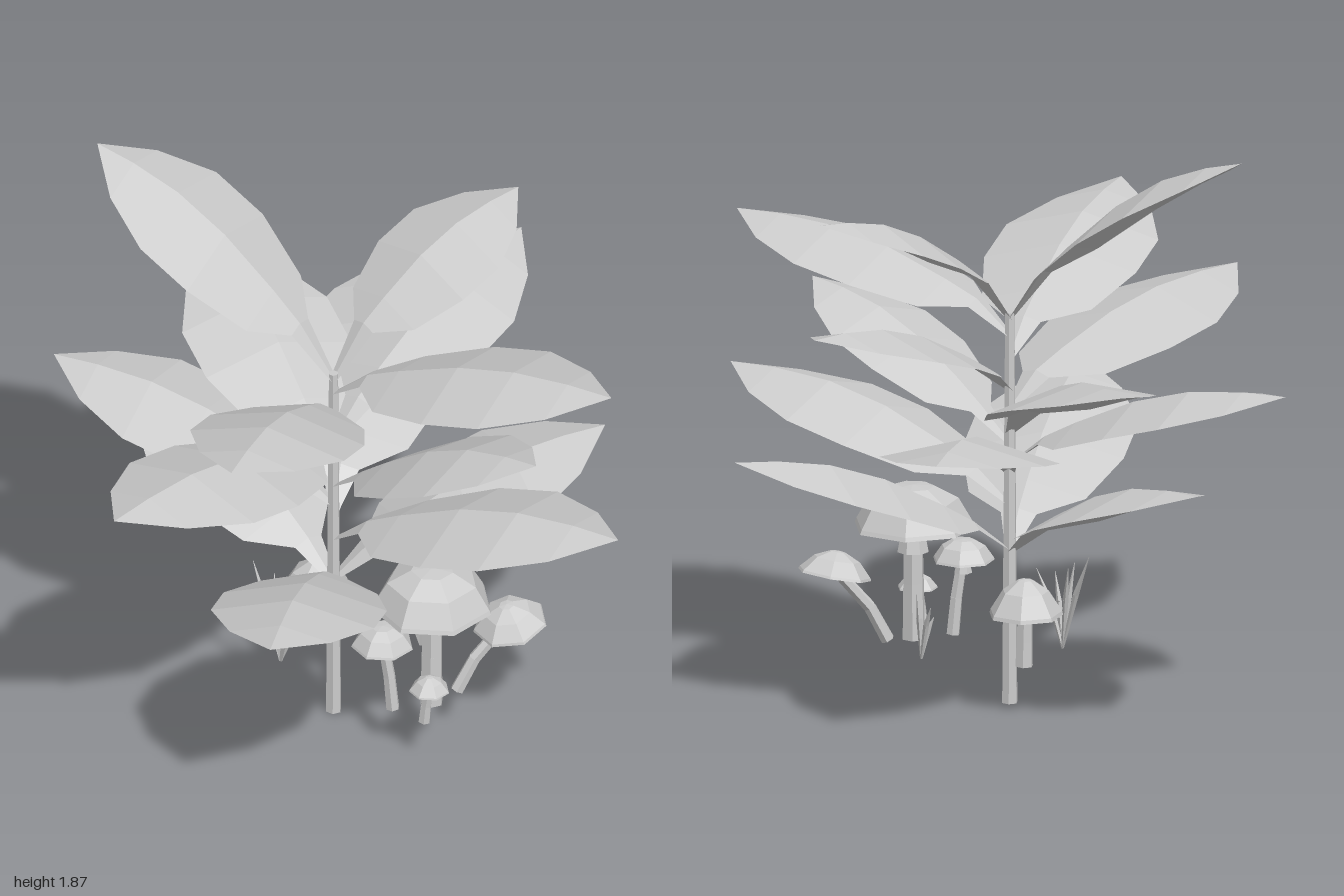
import * as THREE from 'three';

const mat = new THREE.MeshStandardMaterial({ color: 0xcccccc, flatShading: true, side: THREE.DoubleSide });
const V = (x, y, z) => new THREE.Vector3(x, y, z);
const STEM = V(0.04, 0, -0.05);

function add(parent, geo, name) {
  const m = new THREE.Mesh(geo, mat);
  m.name = name;
  parent.add(m);
  return m;
}

// Straight tapered rod between two points
function rod(parent, a, b, r0, r1, sides, name) {
  const d = b.clone().sub(a);
  const m = add(parent, new THREE.CylinderGeometry(r1, r0, d.length(), sides), name);
  m.position.copy(a).addScaledVector(d, 0.5);
  m.quaternion.setFromUnitVectors(V(0, 1, 0), d.normalize());
  return m;
}

// Leaf cross-sections: position along the blade, half width
const ROWS = [[0, 0.055], [0.13, 0.18], [0.37, 0.25], [0.6, 0.25], [0.82, 0.155], [1, 0]];

// Strip stalk running into an arched blade with drooping edges
function leafGeometry(root, base, tip, scale, arch) {
  const side = V(tip.z - base.z, 0, base.x - tip.x).normalize();
  const pos = [], idx = [];
  const section = (mid, w) => {
    for (const s of [-1, 0, 1]) {
      const p = mid.clone().addScaledVector(side, s * w);
      pos.push(p.x, p.y - Math.abs(s) * w * 0.27, p.z);
    }
  };
  section(root, 0.015);
  for (const [t, w] of ROWS) {
    const mid = base.clone().lerp(tip, t);
    mid.y += arch * Math.sin(Math.PI * t);
    section(mid, w * scale);
  }
  for (let i = 0; i < ROWS.length; i++) {
    for (let k = 0; k < 2; k++) {
      const a = i * 3 + k, b = a + 3;
      idx.push(a, b, a + 1, a + 1, b, b + 1);
    }
  }
  const g = new THREE.BufferGeometry();
  g.setAttribute('position', new THREE.Float32BufferAttribute(pos, 3));
  g.setIndex(idx);
  g.computeVertexNormals();
  return g;
}

function leaf(parent, [x, y, z, baseY, scale = 1, arch = 0.072]) {
  const dir = V(x - STEM.x, 0, z - STEM.z).normalize();
  const root = V(STEM.x, Math.min(baseY - 0.1, 1.25), STEM.z);
  const base = V(STEM.x, baseY, STEM.z).addScaledVector(dir, 0.12);
  add(parent, leafGeometry(root, base, V(x, y, z), scale, arch), 'leaf');
}

// Mushroom with a bent stalk, faceted cap and optional skirt
function mushroom(parent, { foot, top, r, h, stalk, tilt = [0, 0], shoulder = 0.62, peak = 0.2, skirt = 0 }) {
  const g = new THREE.Group();
  g.name = 'mushroom';
  const bend = V((foot.x * 2 + top.x) / 3, (foot.y + top.y) / 2, (foot.z * 2 + top.z) / 3);
  rod(g, foot, bend, stalk * 1.1, stalk, 6, 'mushroomStalk');
  rod(g, bend, V(top.x, top.y + h * 0.3, top.z), stalk, stalk * 0.9, 6, 'mushroomStalk');
  const profile = [[0, h * 0.12], [r, 0], [r * 0.97, h * 0.1], [r * shoulder, h * 0.66], [r * peak, h * 0.96], [0, h]];
  const cap = add(g, new THREE.LatheGeometry(profile.map(p => new THREE.Vector2(...p)), 7), 'mushroomCap');
  cap.position.copy(top);
  cap.rotation.set(tilt[0], 0.3, tilt[1]);
  if (skirt) {
    const ring = add(g, new THREE.CylinderGeometry(stalk, stalk * 1.45, skirt, 7, 1, true), 'mushroomSkirt');
    ring.position.set(top.x, top.y - skirt / 2, top.z);
  }
  parent.add(g);
}

// Tuft of narrow pointed blades
function grass(parent, foot, tips) {
  const g = new THREE.Group();
  g.name = 'grassTuft';
  for (const [x, y, z] of tips) {
    const tip = V(x, y, z);
    const mid = foot.clone().lerp(tip, 0.5);
    mid.y += 0.025;
    rod(g, foot, mid, 0.005, 0.011, 3, 'grassBlade');
    rod(g, mid, tip, 0.011, 0.001, 3, 'grassBlade');
  }
  parent.add(g);
}

export function createModel() {
  const model = new THREE.Group();
  model.name = 'plant';

  rod(model, STEM, V(STEM.x, 1.27, STEM.z), 0.026, 0.016, 6, 'stem');

  // Leaves: tip x, y, z, height of blade base, width scale, arch
  const leaves = [
    [-0.06, 1.87, -0.89, 1.42, 1, 0.09],
    [0.75, 1.67, 0.16, 1.41, 0.86],
    [-0.87, 1.48, 0.2, 1.23, 1.03],
    [0.17, 1.48, 0.93, 1.3, 1, 0.065],
    [0.95, 1.36, 0.03, 1.12, 0.96],
    [-1.0, 1.23, -0.16, 1.06, 1.04, 0.065],
    [0.0, 1.25, 0.76, 0.95, 0.9],
    [0.51, 1.22, -0.85, 0.98],
    [-0.17, 1.1, -0.98, 0.88, 0.97],
    [0.99, 1.04, -0.48, 0.85, 1.07],
    [0.15, 0.97, 0.97, 0.75, 1.04, 0.078],
    [-0.87, 0.87, 0.35, 0.6, 1.05],
    [0.8, 0.86, 0.46, 0.6, 1.03],
    [0.25, 0.86, -0.95, 0.59],
  ];
  leaves.forEach(l => leaf(model, l));

  // Mushrooms around the stem
  mushroom(model, { foot: V(0.065, 0.155, 0.31), top: V(0.07, 0.52, 0.31), r: 0.195, h: 0.138, stalk: 0.035, shoulder: 0.74, peak: 0.35, skirt: 0.08 });
  mushroom(model, { foot: V(0.155, 0.165, 0.345), top: V(0.29, 0.385, 0.455), r: 0.12, h: 0.08, stalk: 0.02, tilt: [-0.12, 0.22] });
  mushroom(model, { foot: V(-0.04, 0.16, 0.235), top: V(-0.06, 0.4, 0.21), r: 0.1, h: 0.07, stalk: 0.02, shoulder: 0.7, peak: 0.35, skirt: 0.04 });
  mushroom(model, { foot: V(-0.045, 0.16, 0.36), top: V(-0.045, 0.285, 0.38), r: 0.065, h: 0.05, stalk: 0.018 });
  mushroom(model, { foot: V(0.15, 0.165, -0.19), top: V(0.15, 0.33, -0.195), r: 0.12, h: 0.12, stalk: 0.027 });

  // Grass tufts
  grass(model, V(0.29, 0.17, 0.11), [[0.26, 0.36, 0.15], [0.3, 0.38, 0.12], [0.32, 0.35, 0.05], [0.25, 0.3, 0.09]]);
  grass(model, V(-0.05, 0.18, -0.19), [[-0.03, 0.5, -0.31], [0.0, 0.46, -0.25], [-0.1, 0.45, -0.2], [-0.13, 0.4, -0.1], [-0.06, 0.42, -0.08]]);

  return model;
}
